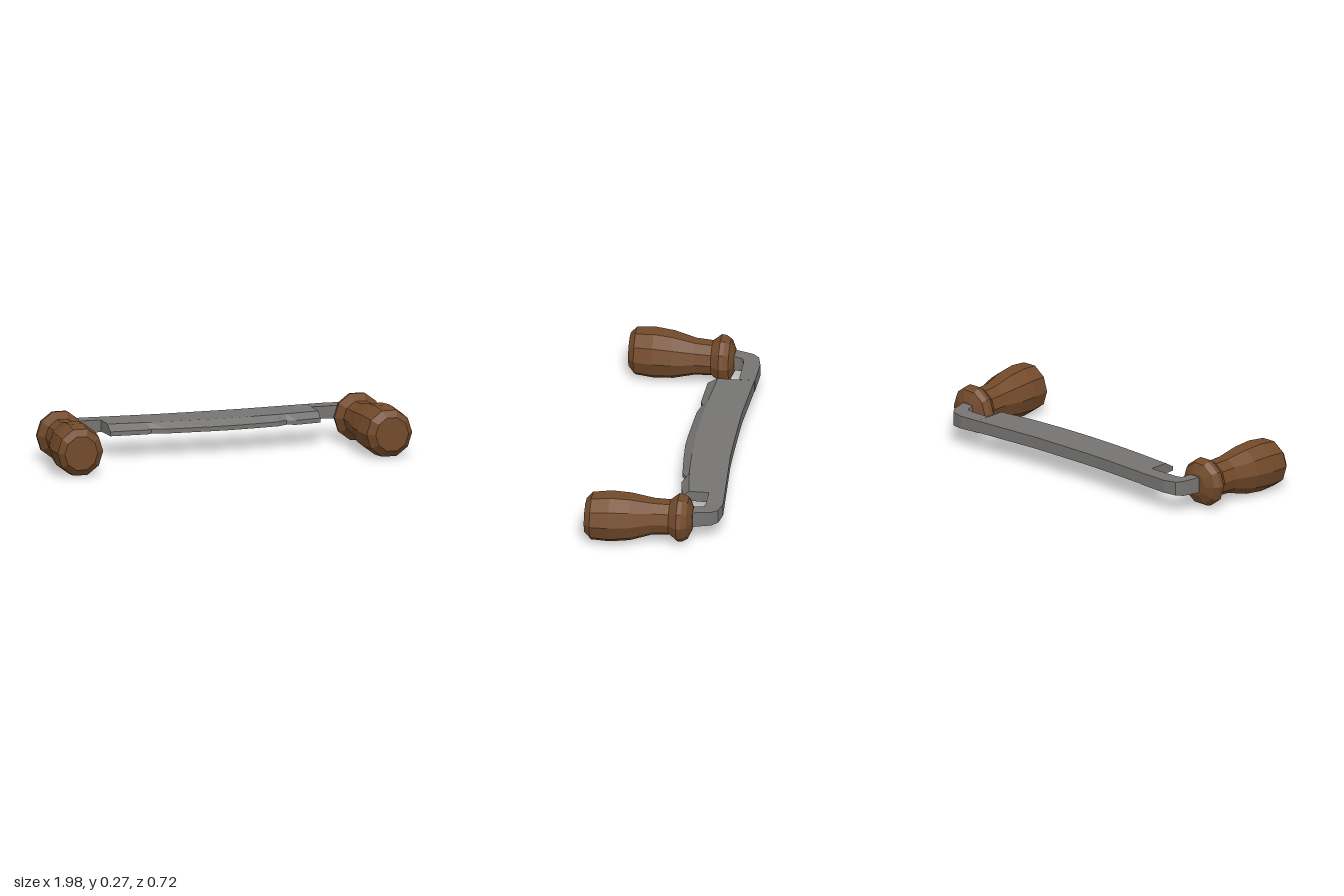
import * as THREE from 'three';

// Joins rings of equal point count into a closed, faceted solid with capped ends.
function loft(rings) {
  const tris = [];
  const n = rings[0].length;
  for (let i = 0; i < rings.length - 1; i++) {
    const a = rings[i], b = rings[i + 1];
    for (let j = 0; j < n; j++) {
      const k = (j + 1) % n;
      tris.push([a[j], a[k], b[k]], [a[j], b[k], b[j]]);
    }
  }
  const first = rings[0], last = rings[rings.length - 1];
  for (let j = 1; j < n - 1; j++) {
    tris.push([first[0], first[j + 1], first[j]], [last[0], last[j], last[j + 1]]);
  }
  // Signed volume tells whether the faces point inwards; if so, flip them.
  let volume = 0;
  for (const [a, b, c] of tris) volume += a.dot(b.clone().cross(c));
  const pts = tris.flatMap(([a, b, c]) => (volume < 0 ? [a, c, b] : [a, b, c]));
  const geometry = new THREE.BufferGeometry().setFromPoints(pts);
  geometry.computeVertexNormals();
  return geometry;
}

const V = (x, y, z) => new THREE.Vector3(x, y, z);

// Turned grip: [z, radius, centre x, centre y] from butt to collar.
function handleGeometry(side) {
  const profile = [
    [0.358, 0.092, 0.868, 0.135], [0.325, 0.127, 0.863, 0.135],
    [0.225, 0.136, 0.856, 0.137], [0.12, 0.127, 0.848, 0.138],
    [0.0, 0.098, 0.836, 0.142], [-0.09, 0.094, 0.832, 0.142],
    [-0.135, 0.129, 0.831, 0.142], [-0.16, 0.127, 0.831, 0.142],
    [-0.187, 0.112, 0.829, 0.142], [-0.212, 0.06, 0.828, 0.142],
  ];
  const sides = 10;
  return loft(profile.map(([z, r, x, y]) => Array.from({ length: sides }, (_, i) => {
    const t = ((i + 0.5) / sides) * Math.PI * 2;
    return V(side * (x + r * Math.sin(t)), y + r * 1.03 * Math.cos(t), z);
  })));
}

// Bent bar from the blade end into the collar: [outer x, outer z, inner x, inner z, bottom, top].
function tangGeometry(side, bladeEnd) {
  const path = [
    [bladeEnd, -0.354, bladeEnd, -0.268, 0.116, 0.182],
    [0.73, -0.36, 0.735, -0.268, 0.112, 0.182],
    [0.8, -0.343, 0.768, -0.262, 0.108, 0.183],
    [0.828, -0.31, 0.777, -0.245, 0.104, 0.185],
    [0.86, -0.18, 0.79, -0.18, 0.1, 0.19],
  ];
  return loft(path.map(([ox, oz, ix, iz, y0, y1]) => [
    V(side * ox, y0, oz), V(side * ox, y1, oz), V(side * ix, y1, iz), V(side * ix, y0, iz),
  ]));
}

// Curved blade with a bevelled front edge: [x, back z, bevel z, edge z].
function bladeGeometry() {
  const stations = [
    [-0.56, -0.352, -0.155, -0.1], [-0.36, -0.34, -0.137, -0.092],
    [-0.33, -0.338, -0.135, -0.104], [-0.25, -0.333, -0.13, -0.084],
    [-0.2, -0.331, -0.127, -0.081], [0.0, -0.33, -0.121, -0.071],
    [0.1, -0.33, -0.121, -0.07], [0.23, -0.331, -0.124, -0.079],
    [0.38, -0.34, -0.133, -0.094], [0.43, -0.343, -0.138, -0.122],
    [0.48, -0.346, -0.143, -0.102], [0.62, -0.354, -0.162, -0.124],
  ];
  return loft(stations.map(([x, back, bevel, edge]) => [
    V(x, 0.117, back), V(x, 0.182, back), V(x, 0.18, bevel),
    V(x, 0.148, edge), V(x, 0.124, edge),
  ]));
}

export function createModel() {
  const wood = new THREE.MeshStandardMaterial({ color: 0x724a2a });
  wood.name = 'brown wood';
  const steel = new THREE.MeshStandardMaterial({ color: 0x757472 });
  steel.name = 'grey steel';

  const model = new THREE.Group();
  model.name = 'drawknife';
  const add = (name, geometry, material) => {
    const mesh = new THREE.Mesh(geometry, material);
    mesh.name = name;
    model.add(mesh);
  };

  add('blade', bladeGeometry(), steel);
  for (const [label, side, bladeEnd] of [['left', 1, 0.62], ['right', -1, 0.56]]) {
    add(`${label}Tang`, tangGeometry(side, bladeEnd), steel);
    add(`${label}Handle`, handleGeometry(side), wood);
  }
  return model;
}
